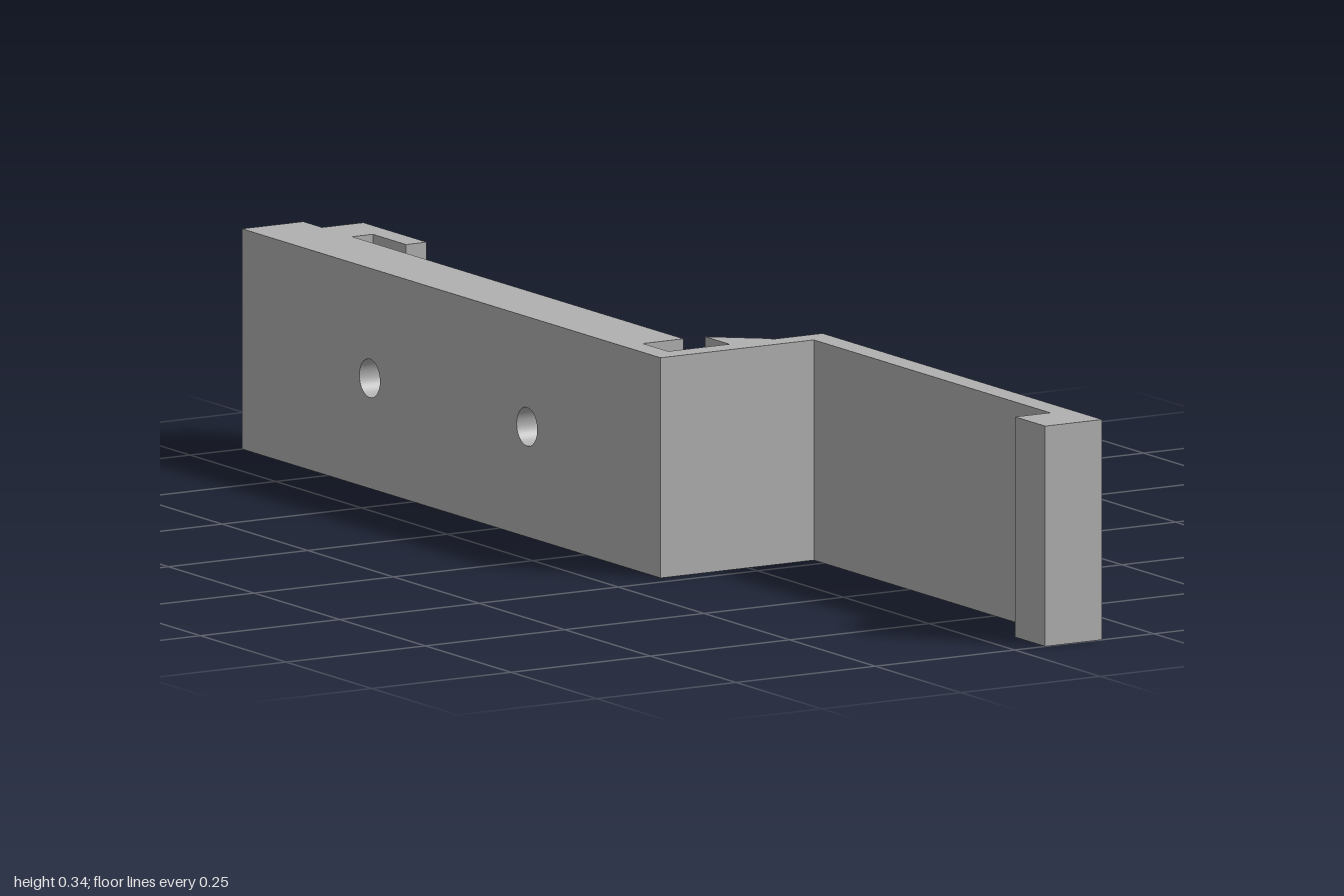
import * as THREE from 'three';

const HEIGHT = 0.343;

// Extrude a plan outline of [x, z] points straight up from the ground
function planExtrude(points) {
  const shape = new THREE.Shape(points.map(([x, z]) => new THREE.Vector2(x, -z)));
  const geometry = new THREE.ExtrudeGeometry(shape, { depth: HEIGHT, bevelEnabled: false });
  return geometry.rotateX(-Math.PI / 2);
}

export function createModel() {
  const group = new THREE.Group();
  group.name = 'clipBracket';
  const grey = new THREE.MeshStandardMaterial({ color: 0xb0b0b0 });
  grey.name = 'plain grey';

  function add(name, geometry) {
    const mesh = new THREE.Mesh(geometry, grey);
    mesh.name = name;
    group.add(mesh);
  }

  // Thick mounting bar with two screw holes through its side
  const side = new THREE.Shape();
  side.moveTo(-0.11, 0).lineTo(1, 0).lineTo(1, HEIGHT).lineTo(-0.11, HEIGHT).closePath();
  for (const z of [-0.168, -0.627]) {
    side.holes.push(new THREE.Path().absarc(-z, HEIGHT / 2, 0.03, 0, Math.PI * 2, true));
  }
  const bar = new THREE.ExtrudeGeometry(side, { depth: 0.11, bevelEnabled: false, curveSegments: 32 });
  bar.rotateY(Math.PI / 2).translate(-0.157, 0, 0);
  add('mountingBar', bar);

  // Hook at the back end of the bar
  add('rearHook', planExtrude([
    [-0.047, -0.945], [0.027, -0.945], [0.027, -0.76],
    [-0.01, -0.76], [-0.01, -0.857], [-0.047, -0.857],
  ]));

  // Thin neck, cross wall with its wedge catch, long arm and end lip
  add('offsetArm', planExtrude([
    [-0.157, 0.11], [-0.12, 0.11], [-0.12, 0.184],
    [-0.01, 0.184], [-0.01, 0.113], [0.067, 0.177], [0.067, 0.184],
    [0.157, 0.184], [0.157, 1], [0.055, 1], [0.055, 0.912],
    [0.118, 0.912], [0.118, 0.222], [-0.157, 0.222],
  ]));

  return group;
}
